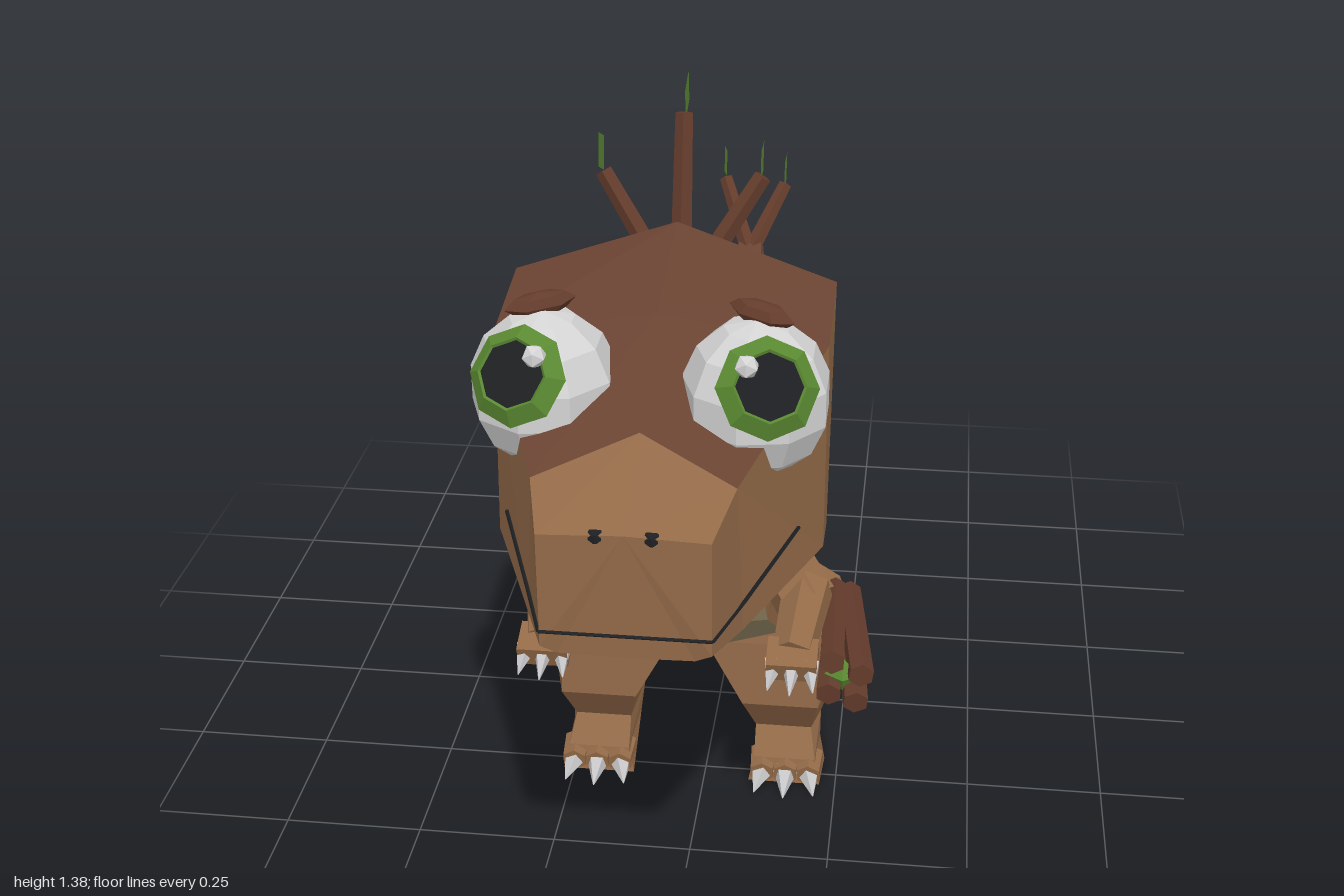
import * as THREE from 'three';

const mat = (name, color, side = THREE.FrontSide) => {
  const m = new THREE.MeshStandardMaterial({ color, side });
  m.name = name;
  return m;
};
const V = (x, y, z) => new THREE.Vector3(x, y, z);

export function createModel() {
  const brown = mat('light brown', 0x936a48);
  const dark = mat('dark brown', 0x6a4332);
  const tan = mat('belly tan', 0x9a8b68);
  const bark = mat('bark', 0x643c2c);
  const green = mat('leaf green', 0x5b8a32, THREE.DoubleSide);
  const white = mat('eye white', 0xd4d4d4);
  const claw = mat('claw grey', 0xc4c4c6);
  const black = mat('black', 0x1e1f22);

  const root = new THREE.Group();
  root.name = 'twigTailedDinosaur';
  const body = new THREE.Group();
  body.name = 'creature';
  body.position.x = -0.025;
  root.add(body);

  // Faceted mesh helper
  const add = (parent, name, geo, material) => {
    const g = geo.index ? geo.toNonIndexed() : geo;
    g.computeVertexNormals();
    const m = new THREE.Mesh(g, material);
    m.name = name;
    parent.add(m);
    return m;
  };

  // Closed loft through rings of points; pick(segment, edge) gives the material index
  const loft = (rings, pick = () => 0, count = 1) => {
    const bins = Array.from({ length: count }, () => []);
    const tri = (b, ...ps) => ps.forEach((p) => bins[b].push(p.x, p.y, p.z));
    const n = rings[0].length, last = rings.length - 1;
    for (let i = 0; i < last; i++) for (let j = 0; j < n; j++) {
      const k = (j + 1) % n, b = pick(i, j);
      tri(b, rings[i][j], rings[i][k], rings[i + 1][k]);
      tri(b, rings[i][j], rings[i + 1][k], rings[i + 1][j]);
    }
    for (let j = 1; j < n - 1; j++) {
      tri(pick(0, 1), rings[0][0], rings[0][j + 1], rings[0][j]);
      tri(pick(last - 1, 1), rings[last][0], rings[last][j], rings[last][j + 1]);
    }
    const g = new THREE.BufferGeometry();
    g.setAttribute('position', new THREE.Float32BufferAttribute(bins.flat(), 3));
    let start = 0;
    bins.forEach((b, i) => { g.addGroup(start, b.length / 3, i); start += b.length / 3; });
    return g;
  };

  // Tapered rod from a to b
  const rod = (parent, name, a, b, r0, r1, material, sides = 5) => {
    const d = b.clone().sub(a);
    const m = add(parent, name, new THREE.CylinderGeometry(r1, r0, d.length(), sides), material);
    m.position.copy(a).addScaledVector(d, 0.5);
    m.quaternion.setFromUnitVectors(V(0, 1, 0), d.normalize());
    return m;
  };

  // Diamond leaf standing in the y-z plane
  const leaf = (parent, p, h, tilt) => {
    const g = new THREE.CircleGeometry(h, 4);
    g.scale(0.75, 1, 1).rotateZ(tilt).rotateY(Math.PI / 2);
    add(parent, 'leaf', g, green).position.copy(p);
  };

  // Half ring [top y,z | upper x,y,z | middle x,y,z | lower x,y,z | bottom y,z], mirrored
  const ring = (t, p, q, r, b) => {
    const h = [p, q, r].map((c) => V(...c));
    return [V(0, ...t), ...h, V(0, ...b), ...h.map((c) => V(-c.x, c.y, c.z)).reverse()];
  };

  // Snout, head, neck and trunk
  const rings = [
    ring([0.955, 1], [0.125, 0.95, 1], [0.125, 0.765, 1], [0.1, 0.752, 0.995], [0.75, 0.995]),
    ring([1.03, 0.83], [0.15, 0.985, 0.9], [0.16, 0.75, 0.9], [0.12, 0.72, 0.88], [0.705, 0.87]),
    ring([1.135, 0.64], [0.26, 1.08, 0.61], [0.26, 0.745, 0.64], [0.17, 0.705, 0.64], [0.66, 0.65]),
    ring([1.19, 0.4], [0.26, 1.11, 0.43], [0.26, 0.74, 0.555], [0.17, 0.705, 0.565], [0.66, 0.59]),
    ring([0.88, 0.29], [0.155, 0.87, 0.305], [0.16, 0.72, 0.51], [0.14, 0.70, 0.55], [0.655, 0.56]),
    ring([0.735, 0.265], [0.14, 0.72, 0.26], [0.175, 0.61, 0.36], [0.145, 0.58, 0.475], [0.57, 0.495]),
    ring([0.66, 0.2], [0.14, 0.645, 0.19], [0.175, 0.53, 0.25], [0.155, 0.46, 0.42], [0.45, 0.44]),
    ring([0.63, 0.11], [0.135, 0.615, 0.1], [0.17, 0.48, 0.15], [0.175, 0.345, 0.28], [0.305, 0.3]),
    ring([0.615, 0.05], [0.125, 0.6, 0.04], [0.155, 0.46, 0.06], [0.12, 0.26, 0.13], [0.23, 0.16]),
  ];
  // Tail stations: z, top, bottom, half width
  [[-0.02, 0.602, 0.3, 0.138], [-0.15, 0.588, 0.335, 0.116], [-0.26, 0.583, 0.375, 0.097],
    [-0.37, 0.588, 0.42, 0.084], [-0.49, 0.6, 0.47, 0.071], [-0.6, 0.615, 0.525, 0.058],
    [-0.71, 0.635, 0.575, 0.045], [-0.83, 0.668, 0.63, 0.03]].forEach(([z, t, b, w]) => {
    const h = t - b;
    rings.push(ring([t, z], [w * 0.8, t - h * 0.05, z], [w, t - h * 0.45, z],
      [w * 0.65, b + h * 0.06, z], [b, z]));
  });
  add(body, 'headBodyAndTail', loft(rings, (i, j) => {
    const k = j < 4 ? j : 7 - j;
    if (i >= 9 && i % 2) return 1;
    if (k === 0 && (i === 1 || i === 2 || (i >= 5 && i <= 8))) return 1;
    if (k === 3 && ((i >= 1 && i <= 6) || i >= 9)) return 2;
    return 0;
  }, 3), [brown, dark, tan]);

  // Mouth line across the front
  rod(body, 'mouthFront', V(-0.126, 0.79, 1.001), V(0.126, 0.79, 1.001), 0.003, 0.003, black, 4);

  for (const s of [1, -1]) {
    const P = (x, y, z) => V(s * x, y, z);
    const side = s > 0 ? 'left' : 'right';
    const group = (name) => {
      const g = new THREE.Group();
      g.name = side + name;
      body.add(g);
      return g;
    };

    // Mouth corners and nostrils
    rod(body, 'mouthSide', P(0.126, 0.79, 1), P(0.161, 0.797, 0.9), 0.003, 0.003, black, 4);
    rod(body, 'mouthCorner', P(0.161, 0.797, 0.9), P(0.227, 0.828, 0.727), 0.003, 0.003, black, 4);
    const nostril = add(body, 'nostril', new THREE.IcosahedronGeometry(0.016, 0), black);
    nostril.position.copy(P(0.04, 0.948, 0.993));
    nostril.scale.set(1, 0.8, 0.7);

    // Eye: ball, iris ring, pupil, glint and lid twig
    const eye = group('Eye');
    const ball = add(eye, 'eyeball', new THREE.SphereGeometry(0.115, 9, 7), white);
    ball.position.copy(P(0.16, 1.045, 0.72));
    ball.scale.y = 1.08;
    const gaze = new THREE.Group();
    gaze.name = 'iris';
    const dir = P(0.025, 0.058, 0.09).normalize();
    gaze.position.copy(ball.position).addScaledVector(dir, 0.1);
    gaze.quaternion.setFromUnitVectors(V(0, 0, 1), dir);
    eye.add(gaze);
    add(gaze, 'irisRing', new THREE.TorusGeometry(0.054, 0.023, 4, 8), green);
    add(gaze, 'pupil', new THREE.CircleGeometry(0.05, 8), black).position.z = 0.021;
    const glint = add(eye, 'glint', new THREE.IcosahedronGeometry(0.019, 0), white);
    glint.position.copy(P(0.154, 1.137, 0.815));
    const lid = add(eye, 'lidTwig', new THREE.SphereGeometry(0.055, 6, 4), bark);
    lid.scale.set(1, 0.34, 0.45);
    lid.position.copy(P(0.165, 1.172, 0.705));
    lid.rotation.set(0, s * -0.4, s * -0.1);

    // Arm with three claws
    const arm = group('Arm');
    rod(arm, 'upperArm', P(0.15, 0.6, 0.37), P(0.225, 0.515, 0.445), 0.05, 0.055, brown, 6);
    rod(arm, 'forearm', P(0.225, 0.54, 0.43), P(0.21, 0.485, 0.56), 0.045, 0.036, brown, 6);
    const hand = add(arm, 'hand', new THREE.BoxGeometry(0.085, 0.04, 0.06), brown);
    hand.position.copy(P(0.21, 0.482, 0.57));
    hand.rotation.x = 0.35;
    for (const k of [-1, 0, 1]) {
      rod(arm, 'claw', P(0.21 + k * 0.03, 0.482, 0.58),
        P(0.21 + k * 0.038, 0.45, 0.632 - Math.abs(k) * 0.012), 0.019, 0.001, claw, 5);
    }

    // Leg: stations of y with five x,z corners running outer, front, inner, back
    const leg = group('Leg');
    const stations = [
      [0.43, 0.27, 0.21, 0.2, 0.285, 0.1, 0.28, 0.1, 0.15, 0.2, 0.14],
      [0.33, 0.3, 0.2, 0.235, 0.3, 0.03, 0.3, 0.03, 0.04, 0.17, 0],
      [0.2, 0.265, 0.21, 0.24, 0.305, 0.1, 0.305, 0.09, 0.13, 0.2, 0.11],
      [0.11, 0.24, 0.18, 0.225, 0.24, 0.12, 0.24, 0.11, 0.12, 0.21, 0.105],
      [0.06, 0.24, 0.19, 0.235, 0.275, 0.12, 0.275, 0.115, 0.14, 0.22, 0.135],
      [0.012, 0.25, 0.2, 0.245, 0.285, 0.11, 0.285, 0.12, 0.165, 0.22, 0.16],
    ];
    const legRings = stations.map(([y, ...c]) => {
      const r = [0, 2, 4, 6, 8].map((i) => P(c[i], y, c[i + 1]));
      return s > 0 ? r : r.reverse();
    });
    add(leg, 'thighAndFoot', loft(legRings), brown);
    for (const k of [-1, 0, 1]) {
      const x = 0.18 + k * 0.044;
      rod(leg, 'toe', P(x, 0.042, 0.235), P(x, 0.034, 0.29), 0.028, 0.024, brown, 6);
      rod(leg, 'toeClaw', P(x, 0.034, 0.275), P(x + k * 0.012, 0.012, 0.335 - Math.abs(k) * 0.012),
        0.024, 0.001, claw, 5);
    }
  }

  // Twigs sprouting behind the head
  const crest = new THREE.Group();
  crest.name = 'headTwigs';
  body.add(crest);
  const twigs = [
    [V(0, 1.06, 0.365), V(0, 1.34, 0.3), V(0, 1.358, 0.265), 0.042, -0.5],
    [V(-0.02, 1.07, 0.365), V(-0.13, 1.245, 0.325), V(-0.13, 1.285, 0.345), 0.045, 0.5],
    [V(0.02, 1.07, 0.365), V(0.13, 1.245, 0.325), V(0.127, 1.262, 0.3), 0.04, -0.9],
  ];
  // Forked twigs at the tail tip
  const tip = new THREE.Group();
  tip.name = 'tailTwigs';
  body.add(tip);
  const tailTwigs = [
    [V(0, 0.64, -0.815), V(-0.065, 0.78, -0.92), V(-0.065, 0.822, -0.915), 0.045, 0.4],
    [V(0, 0.64, -0.815), V(0.07, 0.77, -0.92), V(0.068, 0.79, -0.952), 0.05, -0.9],
  ];
  [[crest, twigs], [tip, tailTwigs]].forEach(([g, list]) => list.forEach(([a, b, p, h, t]) => {
    rod(g, 'twig', a, b, 0.019, 0.015, bark);
    leaf(g, p, h, t);
  }));

  // Bundle of sticks by the left hip
  const bundle = new THREE.Group();
  bundle.name = 'stickBundle';
  root.add(bundle);
  [[V(0.24, 0.45, 0.285), V(0.25, 0.46, 0.54)], [V(0.265, 0.445, 0.285), V(0.3, 0.437, 0.54)],
    [V(0.265, 0.425, 0.29), V(0.292, 0.385, 0.545)], [V(0.245, 0.425, 0.29), V(0.245, 0.395, 0.54)],
  ].forEach(([a, b]) => rod(bundle, 'stick', a, b, 0.022, 0.023, bark, 6));
  const tuft = add(bundle, 'leafTuft', new THREE.ConeGeometry(0.032, 0.02, 4), green);
  tuft.position.set(0.268, 0.42, 0.525);
  tuft.rotation.x = Math.PI / 2;

  return root;
}
